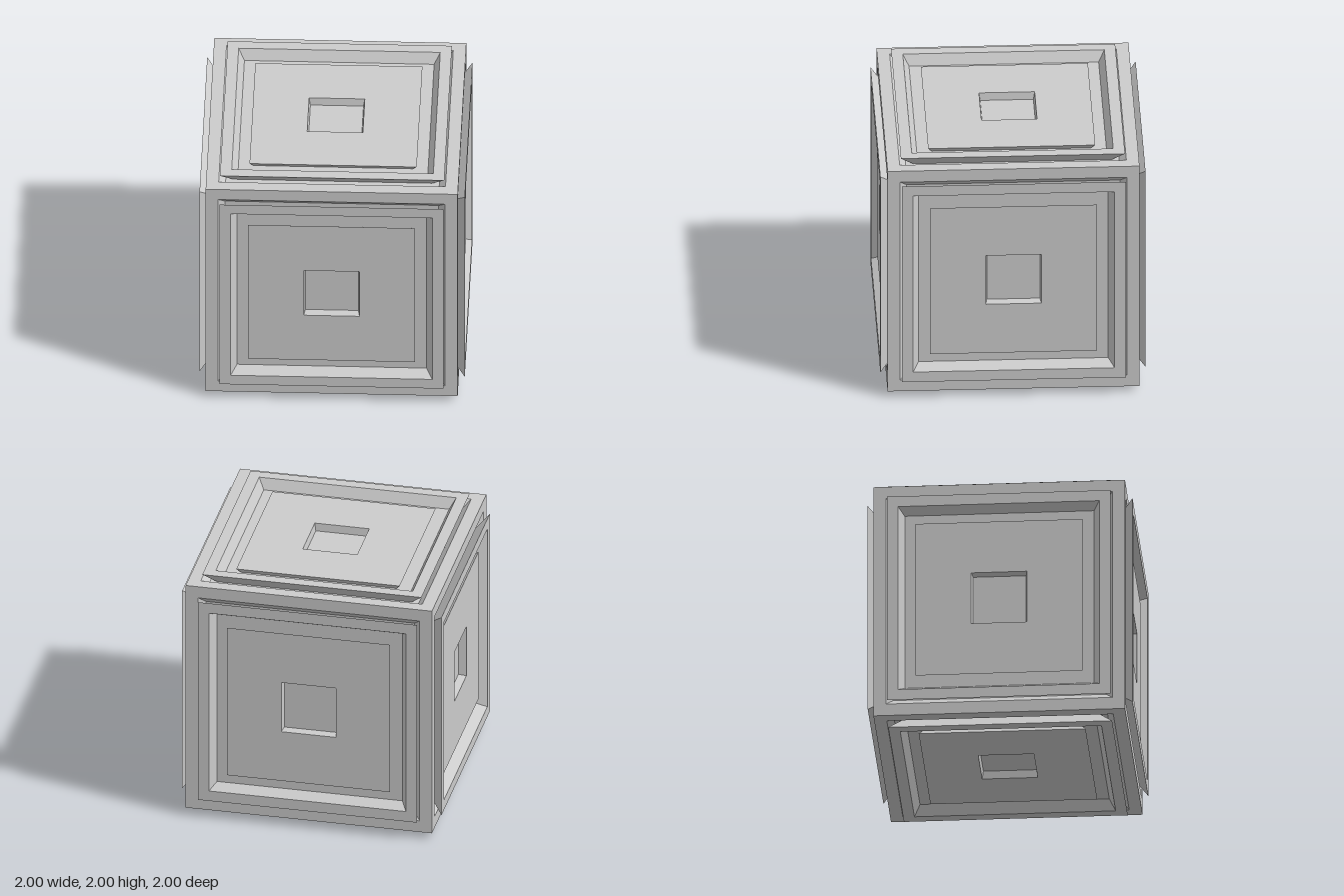
import * as THREE from 'three';

// Concentric square rings, outside to inside, as [half width, distance from cube centre]
const PARTS = {
  cubeBorder: [[0.95, 0.95], [0.855, 0.95], [0.805, 0.9], [0.75, 0.9]],
  raisedFrame: [[0.75, 0.9], [0.845, 1], [0.76, 1], [0.715, 0.92], [0.6, 0.92]],
  centrePanel: [[0.6, 0.92], [0.63, 0.96], [0.21, 0.96]],
  squareRecess: [[0.21, 0.96], [0.2, 0.9], [0, 0.9]],
};

const CORNERS = [[-1, -1], [1, -1], [1, 1], [-1, 1]];

// Joins successive square rings with flat-shaded quads facing +z
function squareRings(profile) {
  const positions = [];
  const point = ([r, h], i) => {
    const [x, y] = CORNERS[i % 4];
    return [x * r, y * r, h];
  };
  for (let k = 0; k < profile.length - 1; k++) {
    for (let i = 0; i < 4; i++) {
      const a = point(profile[k], i), b = point(profile[k], i + 1);
      const c = point(profile[k + 1], i + 1), d = point(profile[k + 1], i);
      positions.push(...a, ...b, ...c);
      if (profile[k + 1][0] > 0) positions.push(...a, ...c, ...d);
    }
  }
  const geometry = new THREE.BufferGeometry();
  geometry.setAttribute('position', new THREE.Float32BufferAttribute(positions, 3));
  geometry.computeVertexNormals();
  return geometry;
}

export function createModel() {
  const model = new THREE.Group();
  model.name = 'panelledCube';
  const material = new THREE.MeshStandardMaterial({ color: 0xcccccc, flatShading: true });
  const geometries = Object.entries(PARTS).map(([name, profile]) => [name, squareRings(profile)]);

  // The same panelled side, turned to each of the six directions
  const q = Math.PI / 2;
  const sides = {
    frontSide: [0, 0], leftSide: [0, q], backSide: [0, 2 * q],
    rightSide: [0, -q], topSide: [-q, 0], bottomSide: [q, 0],
  };
  for (const [sideName, [rx, ry]] of Object.entries(sides)) {
    const side = new THREE.Group();
    side.name = sideName;
    for (const [name, geometry] of geometries) {
      const mesh = new THREE.Mesh(geometry, material);
      mesh.name = name;
      side.add(mesh);
    }
    side.rotation.set(rx, ry, 0);
    side.position.y = 1;
    model.add(side);
  }
  return model;
}
